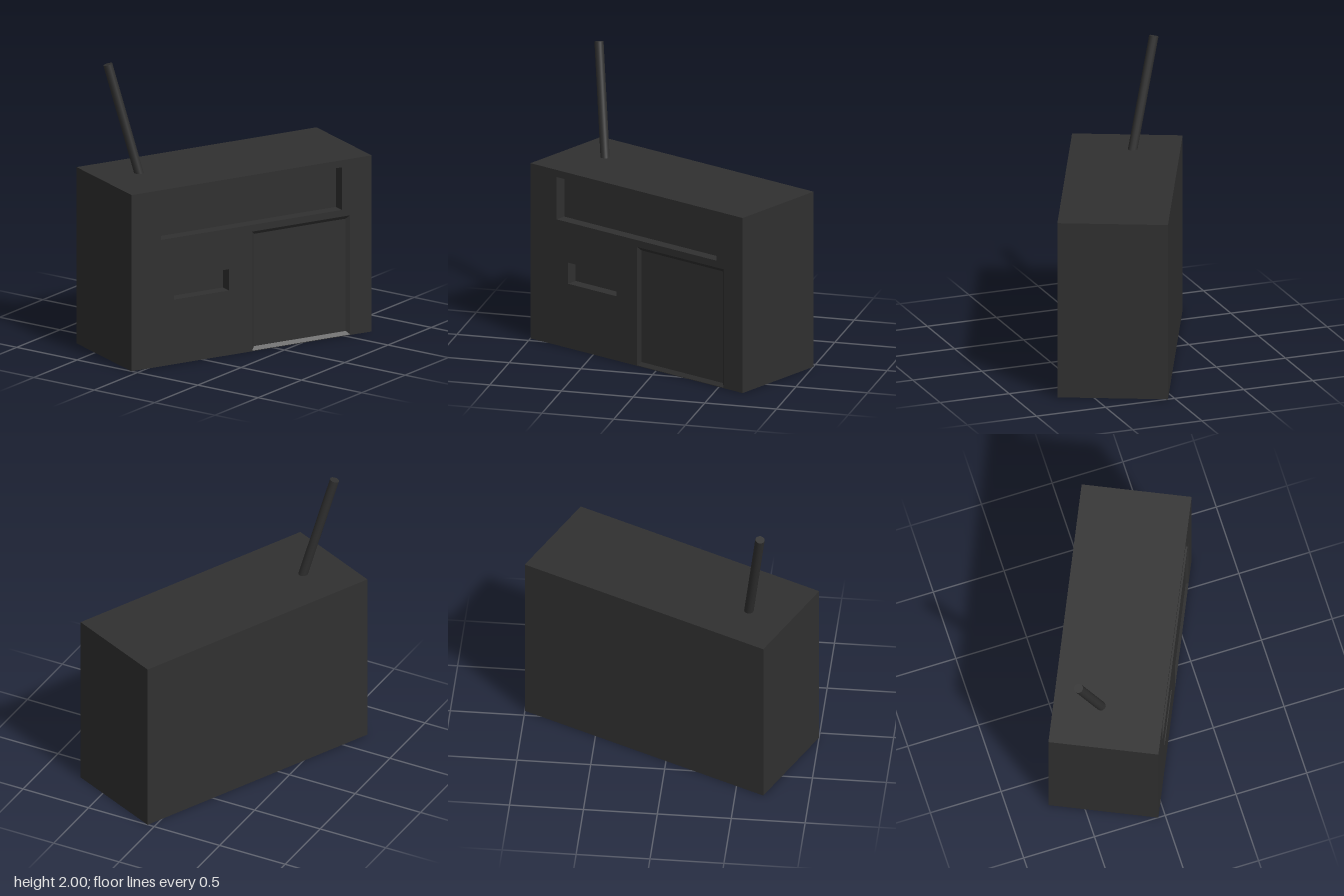
import * as THREE from 'three';

const W = 1.86, H = 1.24, D = 0.746, YAW = -0.43; // body size and turn
const PLATE = 0.08;                               // depth of the slots
const DOOR = { x0: 0.005, x1: 0.765, y0: 0.004, y1: 0.842, depth: 0.018, taper: 0.024 };

const material = new THREE.MeshStandardMaterial({ color: 0x303030, flatShading: true });

function part(name, geometry, parent) {
  const mesh = new THREE.Mesh(geometry, material);
  mesh.name = name;
  parent.add(mesh);
  return mesh;
}

function rectangle(Type, x0, y0, x1, y1) {
  return new Type([[x0, y0], [x1, y0], [x1, y1], [x0, y1]].map(([x, y]) => new THREE.Vector2(x, y)));
}

// Shallow pan with sloping walls, open towards +z
function panGeometry({ x0, x1, y0, y1, depth, taper: t }) {
  const loop = (a, b, c, d, z) => [[a, b, z], [c, b, z], [c, d, z], [a, d, z]];
  const rim = loop(x0, y0, x1, y1, 0);
  const floor = loop(x0 + t, y0 + t, x1 - t, y1 - t, -depth);
  const index = [4, 5, 6, 4, 6, 7];
  for (let i = 0; i < 4; i++) {
    const j = (i + 1) % 4;
    index.push(i, j, j + 4, i, j + 4, i + 4);
  }
  const geometry = new THREE.BufferGeometry();
  geometry.setAttribute('position', new THREE.Float32BufferAttribute([...rim, ...floor].flat(), 3));
  geometry.setIndex(index);
  const flat = geometry.toNonIndexed();
  flat.computeVertexNormals();
  return flat;
}

export function createModel() {
  const model = new THREE.Group();
  model.name = 'boxWithAntenna';

  const body = new THREE.Group();
  body.name = 'body';
  body.rotation.y = YAW;
  model.add(body);

  // Solid rear of the case; its front is the floor of the slots
  part('caseBack', new THREE.BoxGeometry(W, H, D - PLATE), body)
    .position.set(0, H / 2, -PLATE / 2);

  // Front plate with the wide slot, the small slot and the door opening
  const plate = rectangle(THREE.Shape, -W / 2, 0, W / 2, H);
  plate.holes.push(
    rectangle(THREE.Path, -0.7, 0.89, 0.7, 1.19),
    rectangle(THREE.Path, -0.6, 0.455, -0.176, 0.605),
    rectangle(THREE.Path, DOOR.x0, DOOR.y0, DOOR.x1, DOOR.y1)
  );
  part('frontPlate', new THREE.ExtrudeGeometry(plate, { depth: PLATE, bevelEnabled: false }), body)
    .position.z = D / 2 - PLATE;

  // Recessed door panel with sloping edges
  part('doorPanel', panGeometry(DOOR), body).position.z = D / 2;

  // Leaning antenna, sunk a little into the case
  const foot = new THREE.Vector3(-0.546, 1.2, -0.3);
  const tip = new THREE.Vector3(-0.645, 1.992, -0.5);
  const axis = tip.clone().sub(foot);
  const antenna = part('antenna', new THREE.CylinderGeometry(0.032, 0.032, axis.length(), 12), model);
  antenna.position.copy(foot).add(tip).multiplyScalar(0.5);
  antenna.quaternion.setFromUnitVectors(new THREE.Vector3(0, 1, 0), axis.normalize());
  antenna.material = new THREE.MeshStandardMaterial({ color: 0x303030 });

  return model;
}
